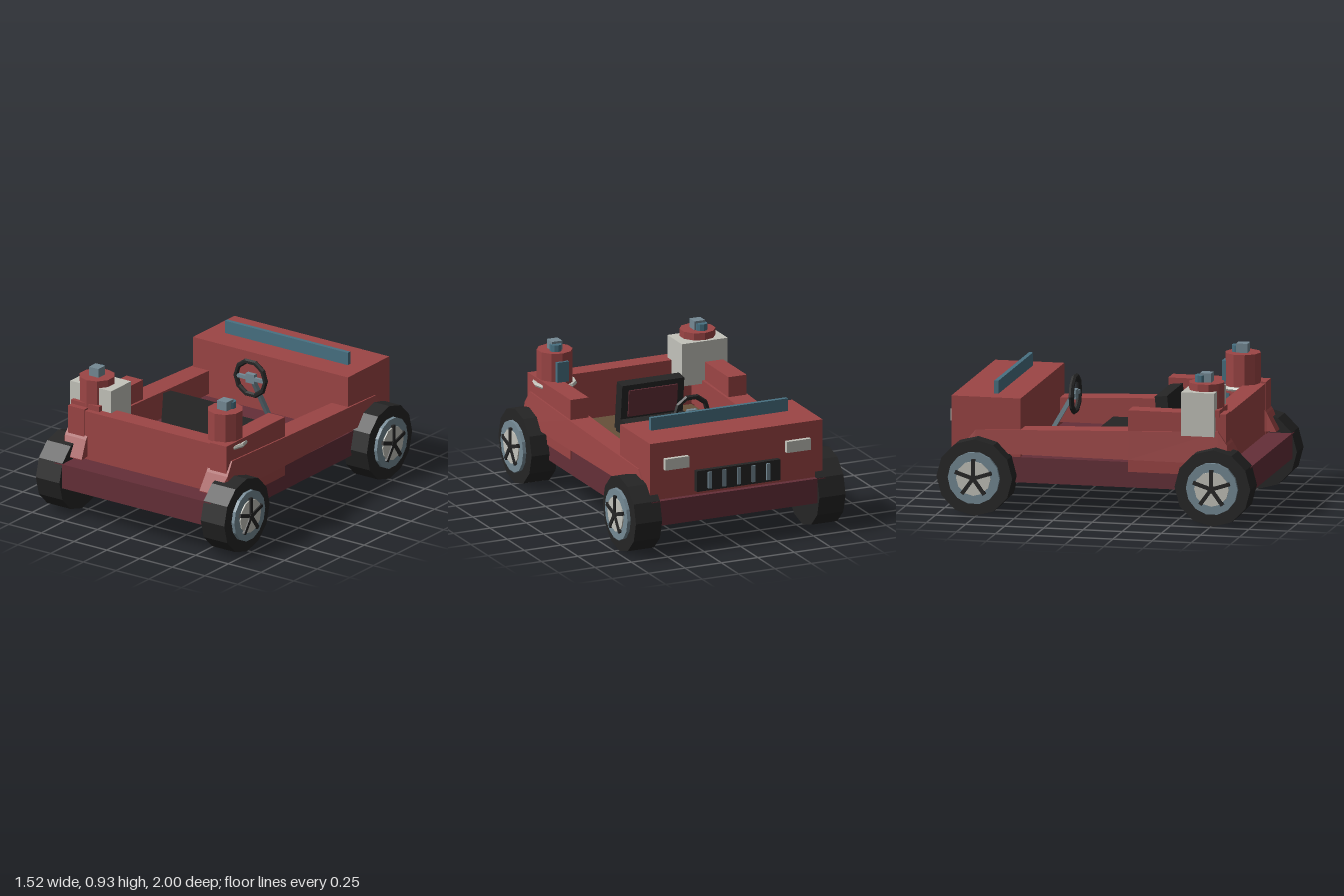
import * as THREE from 'three';

const mat = (name, color) => {
  const m = new THREE.MeshStandardMaterial({ color });
  m.name = name;
  return m;
};

export function createModel() {
  const red = mat('body red', 0x9c4545);
  const maroon = mat('chassis maroon', 0x652f38);
  const brown = mat('floor brown', 0x66503a);
  const black = mat('rubber black', 0x252525);
  const steel = mat('steel blue grey', 0x748994);
  const teal = mat('glass teal', 0x487182);
  const pale = mat('pale grey', 0xc3c3bb);

  const model = new THREE.Group();
  model.name = 'openBuggy';

  // Faceted mesh
  function add(name, geometry, material, parent = model) {
    const g = geometry.index ? geometry.toNonIndexed() : geometry;
    g.computeVertexNormals();
    const mesh = new THREE.Mesh(g, material);
    mesh.name = name;
    parent.add(mesh);
    return mesh;
  }
  // Box given by its limits on each axis
  function box(name, material, [x0, x1], [y0, y1], [z0, z1], parent = model) {
    const g = new THREE.BoxGeometry(x1 - x0, y1 - y0, z1 - z0);
    g.translate((x0 + x1) / 2, (y0 + y1) / 2, (z0 + z1) / 2);
    return add(name, g, material, parent);
  }
  function group(name, x, y, z) {
    const g = new THREE.Group();
    g.name = name;
    g.position.set(x, y, z);
    model.add(g);
    return g;
  }

  // Chassis, floor and main body
  box('chassis', maroon, [-0.597, 0.597], [0.2, 0.36], [-0.972, 0.972]);
  box('floorPanel', brown, [-0.46, 0.46], [0.36, 0.375], [0.23, 0.7]);
  box('hood', red, [-0.592, 0.592], [0.36, 0.73], [-0.937, -0.495]);
  box('endPanel', red, [-0.602, 0.602], [0.361, 0.68], [0.69, 0.815]);
  box('windscreen', teal, [-0.47, 0.47], [0.73, 0.812], [-0.692, -0.665]);

  // Side panels: stations of z, top, inner x, outer top x, outer bottom x
  const stations = [
    [-0.88, 0.39, 0.47, 0.595, 0.6],
    [-0.85, 0.44, 0.47, 0.598, 0.605],
    [-0.78, 0.522, 0.47, 0.6, 0.612],
    [0.2, 0.56, 0.465, 0.615, 0.63],
    [0.77, 0.58, 0.46, 0.615, 0.635],
    [0.83, 0.495, 0.46, 0.622, 0.632],
    [0.89, 0.385, 0.45, 0.58, 0.585],
  ];
  for (const s of [1, -1]) {
    const n = stations.length - 1;
    const g = new THREE.BoxGeometry(1, 1, 1, 1, 1, n);
    const p = g.attributes.position;
    for (let i = 0; i < p.count; i++) {
      const [z, top, inner, outTop, outBottom] = stations[Math.round((p.getZ(i) + 0.5) * n)];
      const up = p.getY(i) > 0;
      const x = p.getX(i) * s > 0 ? (up ? outTop : outBottom) : inner;
      p.setXYZ(i, s * x, up ? top : 0.38, z);
    }
    const side = s > 0 ? 'left' : 'right';
    add(side + 'SidePanel', g, red);
    const b = box(side + 'SideBlock', red, [-0.0625, 0.0625], [0.3, 0.69], [0.195, 0.82]);
    b.position.x = s * 0.5425;
    // Headlight
    const h = box(side + 'Headlight', pale, [-0.082, 0.082], [0.552, 0.625], [-0.965, -0.93]);
    h.position.x = s * 0.418;
  }

  // Grille
  box('grille', black, [-0.287, 0.287], [0.385, 0.52], [-0.97, -0.93]);
  for (let i = -2; i <= 2; i++)
    box('grilleBar', steel, [i * 0.1 - 0.012, i * 0.1 + 0.012], [0.4, 0.507], [-0.982, -0.96]);

  // Wheels
  const disc = (r, depth, sides) => new THREE.CylinderGeometry(r, r, depth, sides).rotateZ(-Math.PI / 2);
  for (const s of [1, -1]) for (const z of [0.76, -0.76]) {
    const wheel = group('wheel', s * 0.63, 0.242, z);
    if (s < 0) wheel.rotation.y = Math.PI;
    add('tyre', disc(0.242, 0.18, 12), black, wheel);
    add('rim', disc(0.165, 0.04, 14), steel, wheel).position.x = 0.092;
    add('hubDisc', disc(0.11, 0.02, 12), pale, wheel).position.x = 0.11;
    add('hubCap', disc(0.024, 0.02, 8), black, wheel).position.x = 0.12;
    for (let i = 0; i < 5; i++) {
      const g = new THREE.BoxGeometry(0.018, 0.122, 0.024).translate(0.119, 0.061, 0);
      add('spoke', g.rotateX(i * Math.PI * 0.4), black, wheel);
    }
  }

  // Seat with forward-leaning backrest
  box('seatCushion', black, [-0.216, 0.216], [0.39, 0.48], [-0.095, 0.36]);
  const back = group('seatBack', 0, 0.4, 0.345);
  back.rotation.x = -0.11;
  box('backrest', black, [-0.213, 0.213], [0, 0.31], [-0.04, 0.04], back);
  box('backrestPad', maroon, [-0.167, 0.167], [0.1, 0.275], [-0.049, -0.04], back);

  // Steering wheel and column
  const steering = group('steering', 0, 0.657, -0.285);
  add('steeringRing', new THREE.TorusGeometry(0.113, 0.017, 6, 10), black, steering);
  box('steeringCrossbar', steel, [-0.105, 0.105], [-0.012, 0.012], [-0.01, 0.01], steering);
  box('steeringHub', steel, [-0.032, 0.032], [-0.03, 0.03], [-0.02, 0.012], steering);
  const column = add('steeringColumn', new THREE.BoxGeometry(0.026, 0.36, 0.026), steel, steering);
  column.position.set(0, -0.148, -0.098);
  column.rotation.x = Math.atan2(0.175, 0.3);

  // Canisters with valves
  for (const s of [1, -1]) {
    const can = group('canister', s * 0.49, 0, 0.67);
    add('canisterBody', new THREE.CylinderGeometry(0.113, 0.113, 0.25, 10), red, can).position.y = 0.747;
    box('valveBlock', steel, [-0.036, 0.036], [0.86, 0.93], [-0.036, 0.036], can);
    const valve = add('valveDrum', new THREE.CylinderGeometry(0.038, 0.038, 0.05, 10), teal, can);
    valve.position.set(s * 0.01, 0.89, -0.036);
    box('gauge', teal, [-0.04, 0.04], [0.69, 0.82], [-0.125, -0.08], can);
    box('hosePlate', teal, [-0.025, 0.025], [0.56, 0.69], [-0.115, -0.085], can);
  }
  // Strap on one canister, case and footing on the other
  const strap = add('strap', new THREE.TorusGeometry(0.126, 0.014, 6, 12).rotateX(Math.PI / 2), pale);
  strap.position.set(0.49, 0.655, 0.67);
  box('case', pale, [-0.637, -0.323], [0.55, 0.826], [0.54, 0.752]);
  box('canisterFoot', red, [-0.61, -0.395], [0.67, 0.715], [0.7, 0.78]);

  return model;
}
